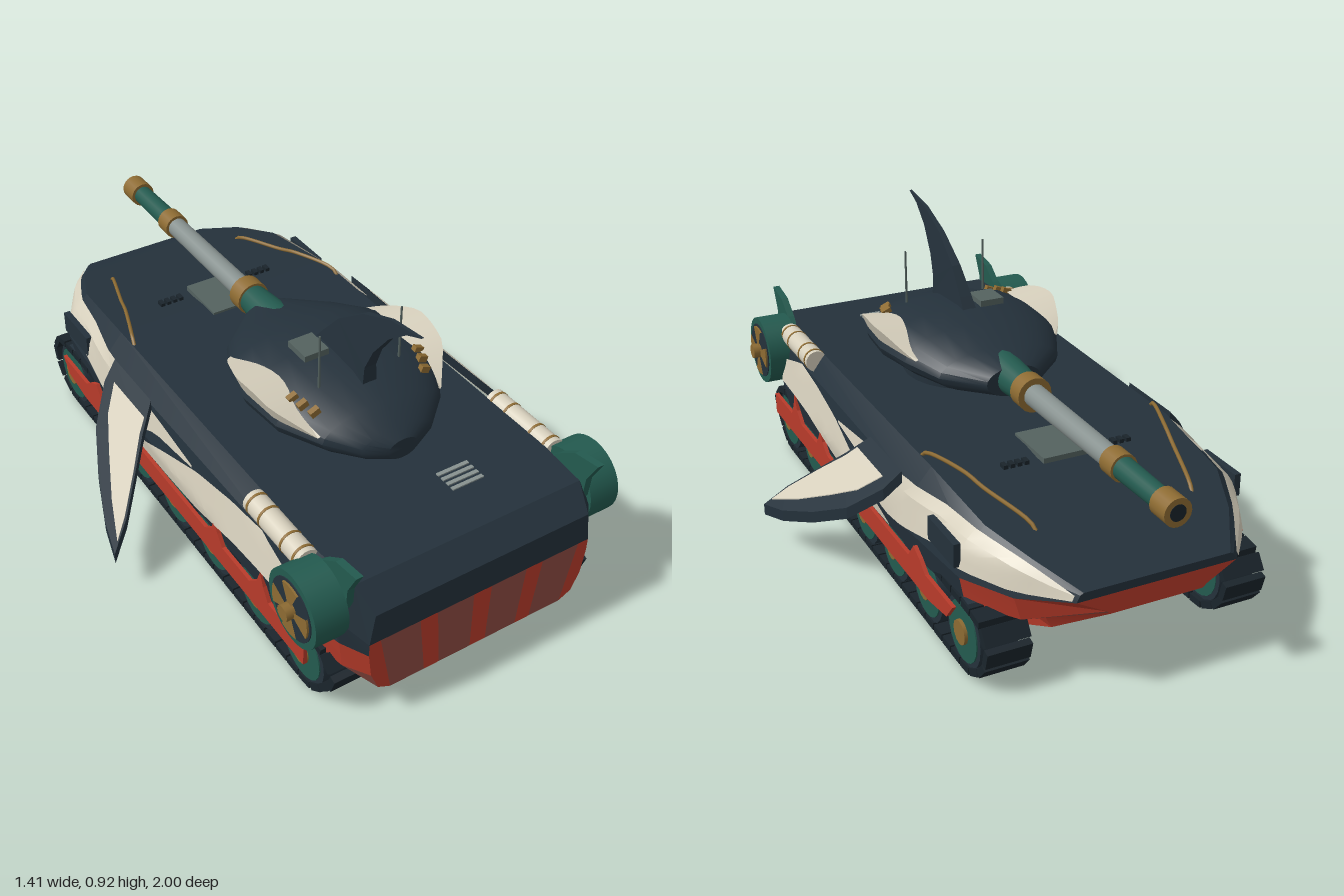
import * as THREE from 'three';
import { toCreasedNormals } from 'three/addons/utils/BufferGeometryUtils.js';

const mat = (name, color, side = THREE.FrontSide) => {
  const m = new THREE.MeshStandardMaterial({ color, side });
  m.name = name;
  return m;
};

// Half profile of the hull [x, y] at each z, from belly edge to deck edge
const HULL = [
  [-0.93, [[.14, .25], [.145, .255], [.15, .26], [.24, .31], [.23, .33], [.22, .335]]],
  [-0.80, [[.24, .16], [.26, .2], [.33, .21], [.35, .28], [.33, .36], [.30, .385]]],
  [-0.65, [[.29, .10], [.30, .19], [.42, .20], [.435, .28], [.41, .37], [.36, .42]]],
  [-0.35, [[.30, .09], [.30, .19], [.44, .19], [.455, .27], [.435, .39], [.38, .455]]],
  [0.75, [[.30, .09], [.30, .19], [.44, .19], [.455, .27], [.43, .40], [.385, .46]]],
  [0.93, [[.30, .09], [.32, .17], [.40, .18], [.41, .27], [.42, .36], [.37, .46]]],
  [1.0, [[.29, .10], [.33, .12], [.355, .18], [.365, .26], [.365, .30], [.35, .40]]],
];
// Turret sections: z, half width, bottom, top
const TURRET = [[-.1, .09, .49, .585], [0, .2, .475, .61], [.12, .26, .47, .65], [.25, .29, .47, .66],
  [.4, .275, .47, .65], [.52, .2, .475, .615], [.59, .12, .48, .575], [.62, .05, .485, .55]];

const lerp = THREE.MathUtils.lerp;
// Finds the two table rows around z
function span(table, z) {
  let i = 0;
  while (i < table.length - 2 && table[i + 1][0] < z) i++;
  const t = THREE.MathUtils.clamp((z - table[i][0]) / (table[i + 1][0] - table[i][0]), 0, 1);
  return [table[i], table[i + 1], t];
}
function hullX(y, z) {
  const [a, b, t] = span(HULL, z);
  const p = a[1].map((q, k) => [lerp(q[0], b[1][k][0], t), lerp(q[1], b[1][k][1], t)]);
  for (let k = 2; k < 5; k++)
    if (y <= p[k + 1][1]) return lerp(p[k][0], p[k + 1][0], Math.max(0, (y - p[k][1]) / (p[k + 1][1] - p[k][1])));
  return p[5][0];
}
function turretPoint(z, angle) {
  const [a, b, t] = span(TURRET, z);
  const [, w, lo, hi] = a.map((v, k) => lerp(v, b[k], t));
  return [w * Math.cos(angle), (lo + hi) / 2 + (hi - lo) / 2 * Math.sin(angle), z];
}
const quad = (list, a, b, c, d) => list.push(...a, ...b, ...c, ...a, ...c, ...d);
function facesToGeometry(list, crease = 0.3) {
  const g = new THREE.BufferGeometry();
  g.setAttribute('position', new THREE.Float32BufferAttribute(list, 3));
  return toCreasedNormals(g, crease);
}
// Upright plate drawn in (z, y), centred on x = 0
function slab(points, thickness) {
  const g = new THREE.ExtrudeGeometry(new THREE.Shape(points.map(p => new THREE.Vector2(...p))),
    { depth: thickness, bevelEnabled: false });
  return g.translate(0, 0, -thickness / 2).rotateY(-Math.PI / 2);
}

export function createModel() {
  const navy = mat('navy', 0x24313b), track = mat('track', 0x1a242b), red = mat('red', 0xb83b2a, THREE.DoubleSide),
    rust = mat('rust', 0x8c4a41, THREE.DoubleSide), cream = mat('cream', 0xd6cfbc, THREE.DoubleSide),
    green = mat('green', 0x235a4f), gold = mat('gold', 0x8d6b32), steel = mat('steel', 0x87918f),
    slate = mat('slate', 0x54625f);
  const model = new THREE.Group();
  const add = (parent, name, geo, m, x = 0, y = 0, z = 0) => {
    const mesh = new THREE.Mesh(geo, m);
    mesh.name = name;
    mesh.position.set(x, y, z);
    parent.add(mesh);
    return mesh;
  };
  const box = (w, h, d) => new THREE.BoxGeometry(w, h, d);
  const tubeZ = (r0, r1, len) => new THREE.CylinderGeometry(r0, r1, len, 20).rotateX(Math.PI / 2);
  const tubeX = (r, len, n = 20) => new THREE.CylinderGeometry(r, r, len, n).rotateZ(Math.PI / 2);

  // Hull lofted along z, sorted into colours
  const F = [-1, -.62, -.45, -.09, .09, .45, .62, 1];
  const ring = ([z, p]) => [...F.map(f => [f * p[0][0], p[0][1], z]),
    ...p.slice(1).map(q => [q[0], q[1], z]), ...p.slice(1).reverse().map(q => [-q[0], q[1], z])];
  const dark = [], bright = [], dull = [];
  const rings = HULL.map(ring), n = rings[0].length;
  for (let s = 0; s < rings.length - 1; s++) for (let i = 0; i < n; i++) {
    const j = (i + 1) % n, a = rings[s], b = rings[s + 1];
    let list = dark;
    if (i < 7) list = i % 2 ? bright : dull;
    else if (i === 7 || i === 17) list = bright;
    else if (i === 8 || i === 16) list = dull;
    else if (i === 9 || i === 15) list = s < 2 || s > 3 ? bright : dark;
    quad(list, a[i], a[j], b[j], b[i]);
  }
  // Bow and stern plates
  const R = (k, j) => [...HULL[k][1][j], HULL[k][0]], L = (k, j) => { const p = R(k, j); p[0] *= -1; return p; };
  for (let j = 0; j < 5; j++) quad(j < 3 ? bright : dark, R(0, j), L(0, j), L(0, j + 1), R(0, j + 1));
  for (let i = 0; i < 7; i++)
    quad(i % 2 ? bright : dull, [F[i] * .29, .1, 1], [F[i + 1] * .29, .1, 1], [F[i + 1] * .33, .3, 1], [F[i] * .33, .3, 1]);
  for (const s of [1, -1]) {
    const c = [s * .33, .3, 1], p = (j) => s > 0 ? R(6, j) : L(6, j);
    for (let j = 0; j < 4; j++) bright.push(...c, ...(s > 0 ? [...p(j), ...p(j + 1)] : [...p(j + 1), ...p(j)]));
  }
  quad(dark, L(6, 4), R(6, 4), R(6, 5), L(6, 5));
  add(model, 'hull', facesToGeometry(dark), navy);
  add(model, 'bellyStripes', facesToGeometry(bright), red);
  add(model, 'belly', facesToGeometry(dull), rust);

  // Turret shell
  const shell = [], N = 24;
  for (let s = 0; s < TURRET.length - 1; s++) for (let i = 0; i < N; i++) {
    const p = (r, k) => turretPoint(TURRET[r][0], k / N * Math.PI * 2);
    quad(shell, p(s, i), p(s, i + 1), p(s + 1, i + 1), p(s + 1, i));
  }
  for (let i = 0; i < N; i++) {
    const p = (z, k) => turretPoint(z, k / N * Math.PI * 2);
    shell.push(0, .5175, .62, ...p(.62, i), ...p(.62, i + 1), 0, .5375, -.1, ...p(-.1, i + 1), ...p(-.1, i));
  }
  add(model, 'turret', facesToGeometry(shell, 0.5), navy);
  add(model, 'turretRing', new THREE.CylinderGeometry(.2, .2, .05, 24), navy, 0, .465, .25);
  add(model, 'hatch', box(.08, .02, .09), slate, -.08, .665, .26);

  // Dorsal fin, thinning towards the tip
  const fin = slab([[.2, .64], [.24, .69], [.31, .77], [.42, .85], [.54, .9], [.67, .92], [.61, .895],
    [.54, .84], [.48, .76], [.45, .69], [.45, .63]], .046);
  const fp = fin.attributes.position;
  for (let i = 0; i < fp.count; i++) fp.setX(i, fp.getX(i) * (1 - .8 * Math.max(0, fp.getY(i) - .64) / .28));
  fin.computeVertexNormals();
  add(model, 'dorsalFin', fin, navy);

  // Gun: back z, front z, back radius, front radius
  for (const [name, z0, z1, r0, r1, m] of [['mantlet', 0, -.19, .062, .046, green], ['barrelCollar', -.18, -.235, .054, .054, gold],
    ['barrel', -.235, -.69, .035, .032, steel], ['barrelRing', -.68, -.74, .041, .041, gold],
    ['barrelTip', -.74, -.94, .034, .031, green], ['muzzle', -.93, -1, .041, .041, gold]])
    add(model, name, tubeZ(r0, r1, z0 - z1), m, 0, .545, (z0 + z1) / 2);
  add(model, 'bore', tubeZ(.024, .024, .006), track, 0, .545, -.998);

  // Deck details
  add(model, 'deckPlate', box(.175, .016, .18), slate, 0, .455, -.37);
  for (let i = 0; i < 4; i++) add(model, 'ventSlot', box(.105, .006, .012), steel, .105, .461, .71 + i * .022);

  // Everything below is built for the +x side and mirrored
  const half = new THREE.Group();
  half.name = 'leftSide';

  // Track links around a closed path
  const path = new THREE.CatmullRomCurve3([[.8, .012], [.4, .012], [0, .012], [-.4, .012], [-.68, .012], [-.77, .06], [-.8, .13],
    [-.74, .2], [-.4, .21], [0, .21], [.4, .21], [.85, .2], [.93, .13], [.88, .06]].map(([z, y]) => new THREE.Vector3(0, y, z)),
    true, 'catmullrom', .3);
  const links = 62, linkGeo = box(.132, .022, path.getLength() / links - .006);
  for (let i = 0; i < links; i++) {
    const p = path.getPointAt(i / links), t = path.getTangentAt(i / links);
    add(half, 'trackLink', linkGeo, track, .367, p.y, p.z).rotation.x = -Math.atan2(t.y, t.z);
  }
  for (const z of [.785, .55, .3, .062, -.175, -.415, -.657]) {
    add(half, 'tyre', tubeX(.104, .11), navy, .372, .116, z);
    add(half, 'wheel', tubeX(.088, .116), green, .373, .116, z);
    add(half, 'wheelHub', tubeX(.036, .13, 12), gold, .376, .116, z);
  }

  // Red skirt with pointed crests
  add(half, 'skirt', slab([[.84, .13], [.84, .2], [.66, .2], [.635, .24], [.62, .285], [.6, .235], [.56, .2], [.41, .2], [.385, .235],
    [.365, .27], [.35, .23], [.31, .2], [-.36, .2], [-.4, .25], [-.44, .23], [-.48, .2], [-.66, .2], [-.62, .15], [-.5, .13]], .012), red, .455, 0, 0);

  // Cream side markings: z, lower y, upper y
  const marking = (rows) => {
    const list = [];
    const at = (z, k) => {
      const [a, b, t] = span(rows, z), y = lerp(lerp(a[1], b[1], t), lerp(a[2], b[2], t), k / 4);
      return [hullX(y, z) + .009, y, z];
    };
    const z0 = rows[0][0], z1 = rows[rows.length - 1][0], steps = 24;
    for (let i = 0; i < steps; i++) for (let k = 0; k < 4; k++) {
      const a = lerp(z0, z1, i / steps), b = lerp(z0, z1, (i + 1) / steps);
      quad(list, at(b, k), at(a, k), at(a, k + 1), at(b, k + 1));
    }
    return facesToGeometry(list);
  };
  add(half, 'rearMarking', marking([[-.2, .21, .215], [-.1, .205, .25], [.05, .21, .30], [.25, .225, .36], [.45, .275, .395],
    [.6, .285, .405], [.75, .29, .365]]), cream);
  add(half, 'frontMarking', marking([[-.925, .315, .33], [-.8, .30, .38], [-.65, .305, .41], [-.5, .31, .415], [-.3, .27, .405],
    [-.18, .25, .395], [0, .33, .385], [.22, .355, .362]]), cream);
  add(half, 'sidePanel', box(.02, .07, .17), navy, .438, .345, -.56);

  // Pectoral fin sloping down and out, with cream faces
  const flipper = (pts, thick) => {
    const g = new THREE.ExtrudeGeometry(new THREE.Shape(pts.map(p => new THREE.Vector2(...p))), { depth: thick, bevelEnabled: false });
    g.translate(0, 0, -thick / 2).rotateX(Math.PI / 2);
    const p = g.attributes.position;
    for (let i = 0; i < p.count; i++) p.setY(i, p.getY(i) + .37 - (p.getX(i) - .47) * 1.08);
    g.computeVertexNormals();
    return g;
  };
  add(half, 'pectoralFin', flipper([[.44, -.28], [.49, -.26], [.57, -.17], [.63, -.04], [.68, .1], [.705, .21], [.64, .165],
    [.56, .08], [.5, .015], [.44, -.04]], .036), navy);
  add(half, 'pectoralFinMarking', flipper([[.475, -.22], [.53, -.16], [.58, -.06], [.64, .07], [.685, .19], [.64, .155],
    [.565, .075], [.505, .005], [.475, -.02]], .042), cream);

  // Ducted fan with tail fin
  add(half, 'fanPod', tubeX(.113, .1, 28), green, .45, .37, .845);
  add(half, 'fanRecess', tubeX(.092, .006, 28), navy, .5, .37, .845);
  for (let i = 0; i < 4; i++)
    add(half, 'fanBlade', new THREE.CylinderGeometry(.084, .084, .008, 8, 1, false, i * Math.PI / 2 - .42, .84).rotateZ(-Math.PI / 2),
      gold, .505, .37, .845);
  add(half, 'fanHub', tubeX(.024, .04, 12), gold, .51, .37, .845);
  add(half, 'fanFin', slab([[.98, .54], [.89, .525], [.83, .48], [.78, .43], [.84, .38], [.94, .4], [.945, .47]], .022), green, .39, 0, 0);

  // Canister with bands
  add(half, 'canister', tubeZ(.035, .035, .27), cream, .412, .44, .645);
  for (const z of [.53, .59, .7, .76]) add(half, 'canisterBand', tubeZ(.0365, .0365, .008), gold, .412, .44, z);

  // Deck handrail, grille and antenna
  const rail = new THREE.CatmullRomCurve3([[.375, .45, -.27], [.37, .468, -.29], [.32, .466, -.44], [.3, .45, -.51], [.245, .418, -.69],
    [.24, .4, -.71]].map(p => new THREE.Vector3(...p)));
  add(half, 'handrail', new THREE.TubeGeometry(rail, 20, .006, 6), gold);
  for (let i = 0; i < 4; i++) add(half, 'grille', box(.014, .012, .025), track, .13 + i * .022, .452, -.43);
  add(half, 'antenna', new THREE.CylinderGeometry(.003, .004, .2, 6), slate, .135, .71, .4);

  // Raised cream brow and gold studs on the turret
  const brow = [], at = (i, up) => {
    const z = lerp(.08, .51, i / 14), w = Math.sin(i / 14 * Math.PI), p = turretPoint(z, .25);
    return [p[0] + .008 + (up ? .025 * w : 0), p[1] + (up ? .06 * w : 0), z];
  };
  for (let i = 0; i < 14; i++) quad(brow, at(i + 1, 0), at(i, 0), at(i, 1), at(i + 1, 1));
  for (let i = 0; i < 14; i++) {
    const inner = k => { const p = turretPoint(at(k, 0)[2], .25 + .55 * Math.sin(k / 14 * Math.PI)); return [p[0], p[1] + .004, p[2]]; };
    quad(brow, at(i + 1, 1), at(i, 1), inner(i), inner(i + 1));
  }
  add(half, 'turretBrow', facesToGeometry(brow), cream);
  for (const z of [.385, .42, .455]) {
    const p = turretPoint(z, .72);
    add(half, 'stud', box(.03, .02, .018), gold, p[0] + .004, p[1] + .004, z).rotation.z = -.4;
  }

  const other = half.clone();
  other.name = 'rightSide';
  other.scale.x = -1;
  model.add(half, other);
  return model;
}
